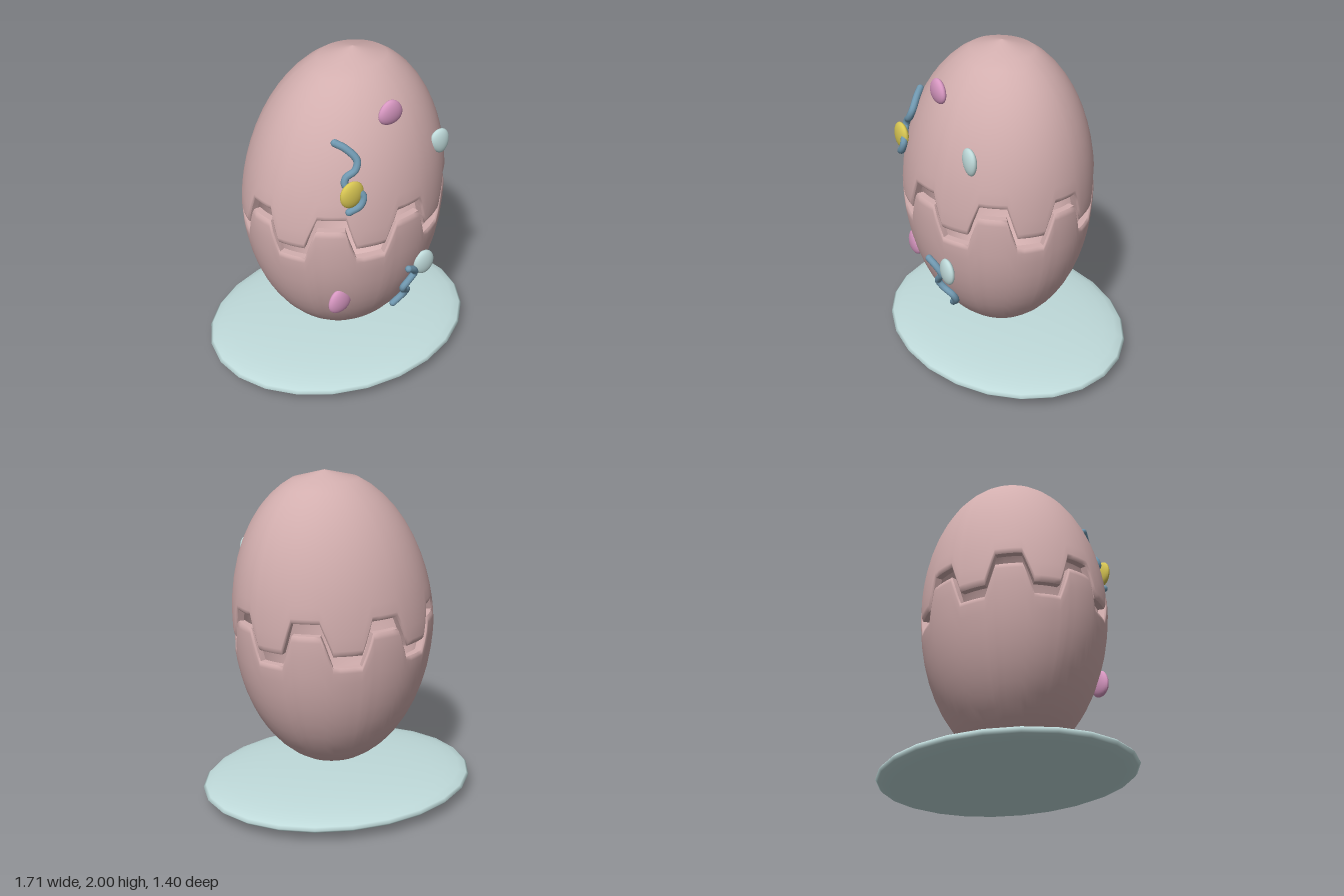
import * as THREE from 'three';
import { mergeGeometries } from 'three/addons/utils/BufferGeometryUtils.js';

const mat = (name, color) => {
  const m = new THREE.MeshStandardMaterial({ color });
  m.name = name;
  return m;
};

// Egg dimensions
const CY = 1.0925, H = 0.9075, RX = 0.615, RZ = 0.545, CZ = 0.06;
const LEAN = 0.06, WALL = 0.05, TEETH = 8;
const rad = THREE.MathUtils.degToRad;

// Point on the egg at a longitude and latitude, moved inwards by inset
function eggPoint(theta, phi, inset) {
  const c = Math.cos(phi), s = Math.sin(phi);
  return [
    (RX - inset) * c * Math.sin(theta) + LEAN * Math.max(0, s),
    CY + (H - inset * Math.abs(s)) * s,
    CZ + (RZ - inset) * c * Math.cos(theta)
  ];
}

// z of the front surface at x, y
function frontZ(x, y) {
  const s = (y - CY) / H, u = (x - LEAN * Math.max(0, s)) / RX;
  return CZ + RZ * Math.sqrt(Math.max(0, 1 - s * s - u * u));
}

// Longitudes, with columns on every tooth corner
const angles = [];
for (let k = 0; k < TEETH; k++)
  for (const a of [-8, -4, 0, 4, 8, 10.2, 12.3, 14.5, 18.5, 22.5, 26.5, 30.5, 32.7, 34.8])
    angles.push(8 + k * 45 + a);

// Height of the zigzag crack, 0 in a valley and 1 on a tooth
function tooth(deg) {
  const a = Math.abs(((deg - 8 + 22.5 + 720) % 45) - 22.5);
  return THREE.MathUtils.clamp((14.5 - a) / 6.5, 0, 1);
}

// Closed band of quads through rows of points; row(j, deg) gives a point
function band(rows, row, flip) {
  const n = angles.length, pos = [], index = [];
  for (let j = 0; j < rows; j++)
    for (const deg of angles) pos.push(...row(j, deg));
  for (let j = 0; j < rows - 1; j++)
    for (let i = 0; i < n; i++) {
      const k = (i + 1) % n;
      const a = j * n + i, b = j * n + k, c = b + n, d = a + n;
      if (flip) index.push(a, c, b, a, d, c);
      else index.push(a, b, c, a, c, d);
    }
  const g = new THREE.BufferGeometry();
  g.setAttribute('position', new THREE.Float32BufferAttribute(pos, 3));
  g.setIndex(index);
  return g;
}

// Half shell: outer skin with a softened lip, flat rim and inner skin
function halfShell(dir, lowEdge, lip) {
  const steps = [0, 0.012, 0.03, 0.1, 0.2, 0.3, 0.4, 0.5, 0.6, 0.7, 0.8, 0.9, 1];
  const insets = [lip, lip * 0.3, 0];
  const point = (j, deg, depth) => {
    const edge = Math.asin((lowEdge + 0.19 * tooth(deg) - CY) / H);
    const phi = j === steps.length ? dir * Math.PI / 2
      : THREE.MathUtils.lerp(edge, dir * rad(71), steps[j]);
    return eggPoint(rad(deg), phi, depth);
  };
  const down = dir < 0;
  const outer = band(steps.length + 1, (j, d) => point(j, d, insets[j] || 0), down);
  const inner = band(steps.length + 1, (j, d) => point(j, d, WALL), !down);
  const rim = band(2, (j, d) => point(0, d, j ? lip : WALL), down);
  outer.computeVertexNormals();
  inner.computeVertexNormals();
  const flatRim = rim.toNonIndexed();
  flatRim.computeVertexNormals();
  return mergeGeometries([outer.toNonIndexed(), inner.toNonIndexed(), flatRim]);
}

export function createModel() {
  const group = new THREE.Group();
  const shell = mat('dustyRoseShell', 0xd2aeae);
  const aqua = mat('paleAqua', 0xbfdada);
  const pink = mat('pinkSpot', 0xd797c1);
  const yellow = mat('yellowSpot', 0xd8c653);
  const blue = mat('steelBlue', 0x7098b0);

  const add = (name, geo, material) => {
    const m = new THREE.Mesh(geo, material);
    m.name = name;
    group.add(m);
    return m;
  };

  // Base plate
  const plate = add('basePlate', new THREE.SphereGeometry(1, 24, 16), aqua);
  plate.scale.set(0.855, 0.085, 0.7);
  plate.position.y = 0.085;

  // Cracked egg
  add('upperShell', halfShell(1, 1.04, 0.012), shell);
  add('lowerShell', halfShell(-1, 0.97, 0.012), shell);

  // Flattened egg-shaped spots; taper narrows the top, tilt leans it
  const spots = [
    ['upperPinkSpot', pink, 0.04, 1.773, 0.455, 0.075, 0.072, 0.15, 0],
    ['upperAquaSpot', aqua, 0.385, 1.49, 0.46, 0.06, 0.078, -0.18, 0.2],
    ['yellowSpot', yellow, -0.262, 1.405, 0.545, 0.073, 0.08, -0.05, -0.15],
    ['lowerAquaSpot', aqua, 0.25, 0.75, 0.545, 0.07, 0.08, 0, 0],
    ['lowerPinkSpot', pink, -0.295, 0.645, 0.475, 0.072, 0.08, 0.18, 0.15]
  ];
  for (const [name, material, x, y, z, rx, ry, taper, tilt] of spots) {
    const g = new THREE.SphereGeometry(1, 24, 16);
    const p = g.attributes.position;
    for (let i = 0; i < p.count; i++) p.setX(i, p.getX(i) * (1 - taper * p.getY(i)));
    g.scale(rx, ry, 0.03);
    g.computeVertexNormals();
    const m = add(name, g, material);
    m.position.set(x, y, z);
    m.rotation.z = tilt;
  }

  // Wavy ribbons lying on the surface
  const squiggles = {
    upperSquiggle: [[-0.28, 1.66], [-0.24, 1.635], [-0.2, 1.575], [-0.22, 1.525], [-0.27, 1.49],
      [-0.28, 1.45], [-0.23, 1.42], [-0.2, 1.385], [-0.22, 1.335], [-0.28, 1.3]],
    lowerSquiggle: [[0.11, 0.78], [0.16, 0.745], [0.185, 0.7], [0.15, 0.655], [0.115, 0.61],
      [0.135, 0.57], [0.185, 0.53], [0.18, 0.485], [0.115, 0.425]]
  };
  for (const [name, pts] of Object.entries(squiggles)) {
    const path = pts.map(([x, y]) => new THREE.Vector3(x, y, frontZ(x, y) + 0.025));
    const parts = [new THREE.TubeGeometry(new THREE.CatmullRomCurve3(path), 48, 0.021, 10)];
    for (const end of [path[0], path[path.length - 1]])
      parts.push(new THREE.SphereGeometry(0.021, 10, 8).translate(end.x, end.y, end.z));
    add(name, mergeGeometries(parts), blue);
  }
  return group;
}
